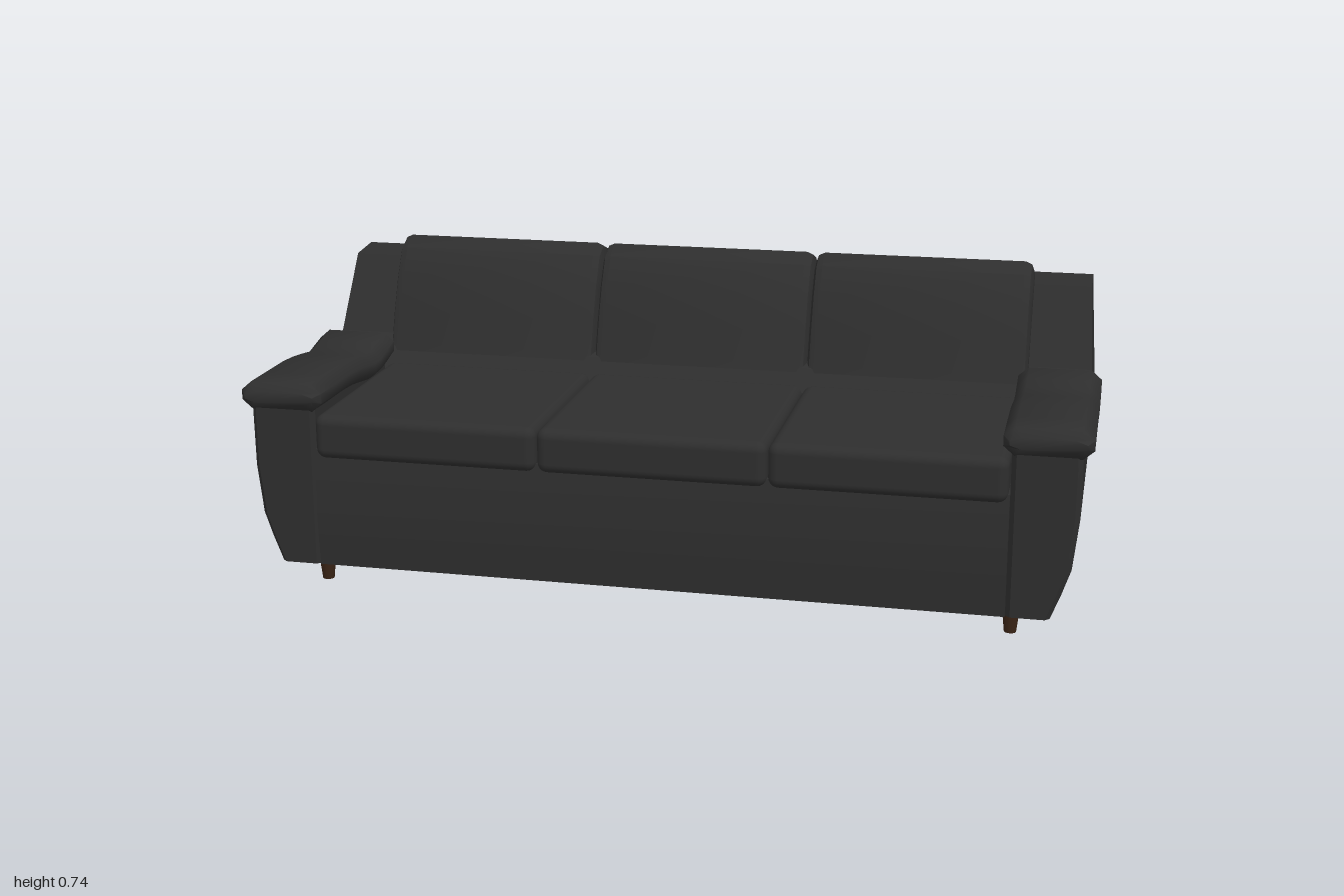
import * as THREE from 'three';
import { toCreasedNormals } from 'three/addons/utils/BufferGeometryUtils.js';
import { RoundedBoxGeometry } from 'three/addons/geometries/RoundedBoxGeometry.js';

const leather = new THREE.MeshStandardMaterial({ color: 0x2e2e2e });
const wood = new THREE.MeshStandardMaterial({ color: 0x3a2416 });

// Skin a list of rings (each counter-clockwise seen from the last ring's side) and cap both ends
function loft(rings, crease = 0.6) {
  const n = rings[0].length, last = (rings.length - 1) * n, index = [];
  for (let i = 0; i < rings.length - 1; i++) {
    for (let j = 0; j < n; j++) {
      const a = i * n + j, b = i * n + (j + 1) % n;
      index.push(a, b, b + n, a, b + n, a + n);
    }
  }
  for (let j = 1; j < n - 1; j++) {
    index.push(0, j + 1, j, last, last + j, last + j + 1);
  }
  const g = new THREE.BufferGeometry();
  g.setAttribute('position', new THREE.Float32BufferAttribute(rings.flat(2), 3));
  g.setIndex(index);
  return toCreasedNormals(g, crease);
}

export function createModel() {
  const model = new THREE.Group();
  const add = (name, geometry, material = leather) => {
    const mesh = new THREE.Mesh(geometry, material);
    mesh.name = name;
    model.add(mesh);
    return mesh;
  };

  // Backrest frame: full-width wedge; rows are [y, half width, front z]
  const backRows = [
    [0.06, 0.92, -0.1], [0.12, 0.943, -0.1], [0.18, 0.963, -0.1], [0.3, 0.976, -0.1],
    [0.42, 0.977, -0.1], [0.475, 0.974, -0.14], [0.493, 0.973, -0.205], [0.68, 0.96, -0.305],
  ];
  add('backFrame', loft(backRows.map(([y, w, zf], i) => {
    const yb = i === backRows.length - 1 ? 0.69 : y;
    return [[-w, y, zf], [w, y, zf], [w, yb, -0.405], [-w, yb, -0.405]];
  })));

  // Base with a gently bulging front panel; rows are [y, front z]
  const baseRows = [[0.06, 0.386], [0.12, 0.392], [0.2, 0.396], [0.28, 0.392], [0.35, 0.386]];
  add('base', loft(baseRows.map(([y, z]) =>
    [[-0.82, y, z], [0.82, y, z], [0.82, y, -0.1], [-0.82, y, -0.1]])));

  // Arms: bellied outer side, chamfered front edges
  const armRows = [[0.06, 0.92], [0.12, 0.943], [0.18, 0.963], [0.3, 0.976], [0.42, 0.977], [0.445, 0.976]];
  for (const side of [-1, 1]) {
    add(side > 0 ? 'leftArm' : 'rightArm', loft(armRows.map(([y, w]) => {
      const x0 = side > 0 ? 0.82 : -w, x1 = side > 0 ? w : -0.82, c = 0.011;
      return [[x0, y, 0.376], [x0 + c, y, 0.387], [x1 - c, y, 0.387], [x1, y, 0.376],
        [x1, y, -0.1], [x0, y, -0.1]];
    })));

    // Padded armrest: flattened octagon swept from back to front; rows are [z, bottom, top, half width]
    const padRows = [
      [-0.14, 0.475, 0.5, 0.085], [-0.118, 0.446, 0.514, 0.1], [-0.06, 0.43, 0.502, 0.1],
      [-0.02, 0.422, 0.492, 0.1], [0.02, 0.422, 0.49, 0.1], [0.07, 0.429, 0.497, 0.1],
      [0.13, 0.437, 0.504, 0.1], [0.19, 0.44, 0.508, 0.1], [0.3, 0.44, 0.508, 0.1],
      [0.383, 0.441, 0.508, 0.1], [0.405, 0.462, 0.489, 0.085],
    ];
    add(side > 0 ? 'leftArmrest' : 'rightArmrest', loft(padRows.map(([z, b, t, w]) => {
      const h = t - b, c = 0.025, x = side * 0.9;
      return [[-w + c, b], [w - c, b], [w, b + h * 0.32], [w, t - h * 0.32],
        [w - c, t], [-w + c, t], [-w, t - h * 0.32], [-w, b + h * 0.32]]
        .map(([px, py]) => [x + px, py, z]);
    }), 0.9));
  }

  // Back cushion profile as [z, y], extruded across x with bevelled ends
  const cushionSide = new THREE.Shape([
    [-0.11, 0.41], [-0.2, 0.41], [-0.33, 0.66], [-0.342, 0.72], [-0.286, 0.74],
    [-0.24, 0.716], [-0.2, 0.646], [-0.165, 0.56], [-0.14, 0.482], [-0.12, 0.435],
  ].reverse().map(([z, y]) => new THREE.Vector2(-z, y)));
  const width = 0.545, bevel = 0.022;
  const backCushion = new THREE.ExtrudeGeometry(cushionSide, {
    depth: width - 2 * bevel, bevelEnabled: true, bevelThickness: bevel,
    bevelSize: bevel, bevelOffset: -bevel, bevelSegments: 2,
  });
  backCushion.translate(0, 0, bevel - width / 2).rotateY(Math.PI / 2);
  const backCushionGeometry = toCreasedNormals(backCushion, 0.65);
  const seatGeometry = new RoundedBoxGeometry(width - 0.002, 0.108, 0.53, 3, 0.024);

  // Three seat and three back cushions
  for (const i of [-1, 0, 1]) {
    add('seatCushion', seatGeometry).position.set(i * width, 0.384, 0.138);
    add('backCushion', backCushionGeometry).position.x = i * (width + 0.002);
  }

  // Tapered wooden legs
  const legGeometry = new THREE.CylinderGeometry(0.021, 0.014, 0.062, 12);
  for (const x of [-0.83, 0.83]) {
    for (const z of [0.318, -0.325]) {
      add('leg', legGeometry, wood).position.set(x, 0.031, z);
    }
  }
  return model;
}
